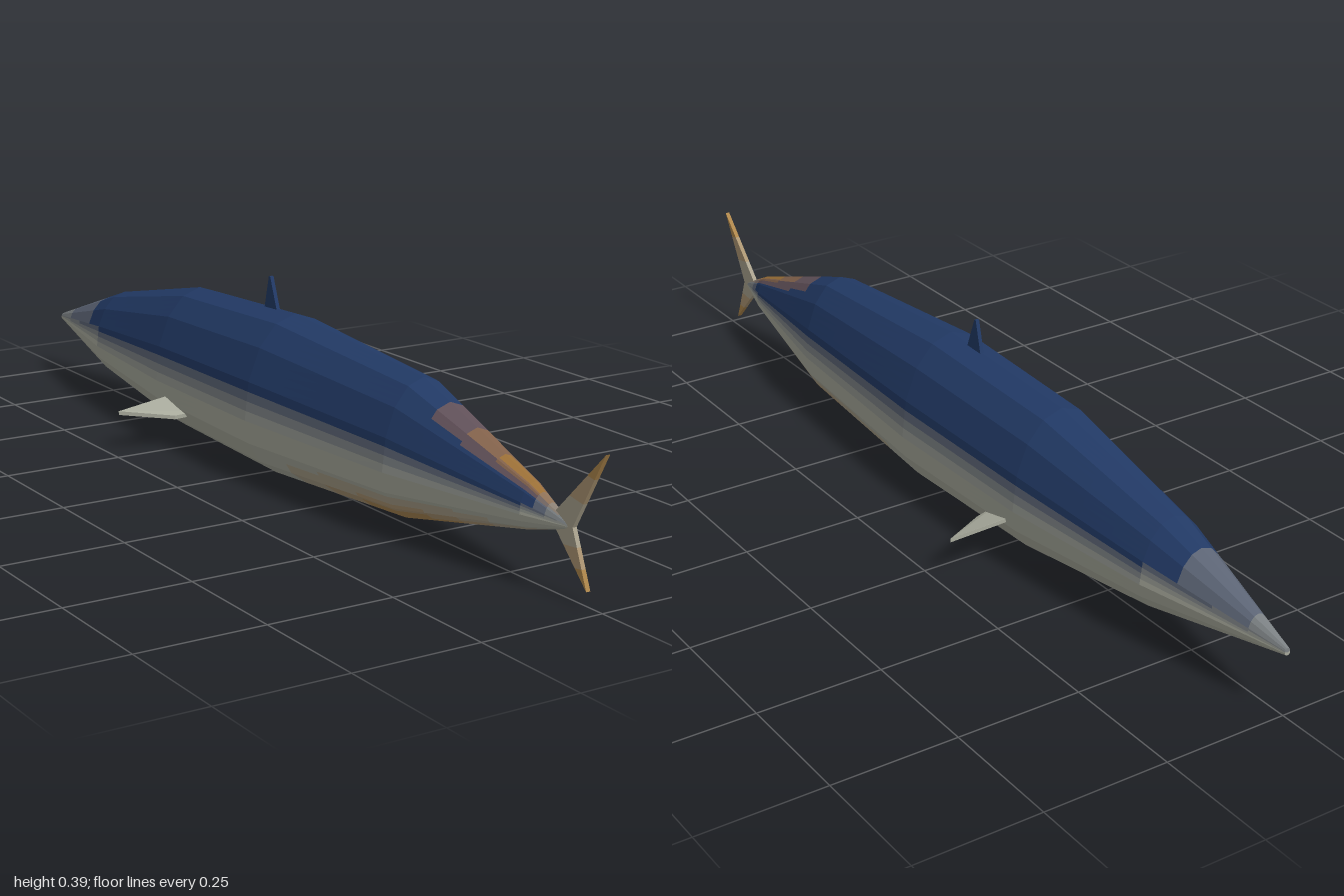
import * as THREE from 'three';
import { ConvexGeometry } from 'three/addons/geometries/ConvexGeometry.js';

const NAVY = new THREE.Color(0x223a66);
const GREY = new THREE.Color(0xa8aa9c);
const YELLOW = new THREE.Color(0xb07c14);
const AXIS_Y = 0.13, SIDES = 16, SPLIT = 4, LEVELS = 4;

// Body rings, nose to tail: z, half width, height above axis, depth below axis
const RINGS = [
  [-1, 0, 0, 0],
  [-1, 0.006, 0.009, 0.006],
  [-0.685, 0.073, 0.117, 0.071],
  [-0.34, 0.11, 0.189, 0.115],
  [0.04, 0.118, 0.203, 0.127],
  [0.48, 0.09, 0.168, 0.103],
  [0.81, 0.031, 0.054, 0.033],
  [0.91, 0.004, 0.005, 0.005],
  [0.91, 0, 0, 0],
];

function material(color) {
  return new THREE.MeshStandardMaterial({ color, flatShading: true });
}

function ringPoint(i, j) {
  const [z, w, up, down] = RINGS[i];
  const a = (j / SIDES) * Math.PI * 2, c = Math.cos(a);
  return new THREE.Vector3(w * Math.sin(a), AXIS_Y + c * (c > 0 ? up : down), z);
}

// Share of navy and yellow at a ring corner; the rest is grey
function tint(i, j) {
  const k = Math.min(j, SIDES - j);
  let blue = k <= 3 ? 1 : 0, yellow = 0;
  if (i <= 1) blue *= 0.45;
  if (i >= 7) blue *= 0.3;
  if (i === 6) yellow = k === 0 ? 1 : k === 1 ? 0.6 : k >= 7 ? 0.3 : 0;
  if (i === 5 && k >= 6) yellow = k === 6 ? 0.55 : 1;
  return new THREE.Vector3(blue, yellow, 0);
}

// Blend four corner vectors across a panel
function blend(q, u, v) {
  const near = q[0].clone().lerp(q[1], u);
  return near.lerp(q[3].clone().lerp(q[2], u), v);
}

// Faceted body, its small panels gathered by colour step
function makeBody() {
  const body = new THREE.Group();
  body.name = 'body';
  const skins = new Map();
  for (let i = 0; i < RINGS.length - 1; i++) {
    for (let j = 0; j < SIDES; j++) {
      const corners = [[i, j], [i + 1, j], [i + 1, j + 1], [i, j + 1]];
      const points = corners.map((c) => ringPoint(...c));
      const tints = corners.map((c) => tint(...c));
      for (let s = 0; s < SPLIT; s++) {
        for (let t = 0; t < SPLIT; t++) {
          const u = s / SPLIT, v = t / SPLIT, d = 1 / SPLIT;
          const mix = blend(tints, u + d / 2, v + d / 2).multiplyScalar(LEVELS).round();
          const key = `${mix.x}_${mix.y}`;
          if (!skins.has(key)) skins.set(key, { mix, verts: [] });
          const [a, b, c, e] = [[u, v], [u + d, v], [u + d, v + d], [u, v + d]]
            .map((p) => blend(points, ...p));
          for (const p of [a, b, c, a, c, e]) skins.get(key).verts.push(p);
        }
      }
    }
  }
  for (const { mix, verts } of skins.values()) {
    const geometry = new THREE.BufferGeometry().setFromPoints(verts);
    geometry.computeVertexNormals();
    const color = GREY.clone().lerp(NAVY, mix.x / LEVELS).lerp(YELLOW, mix.y / LEVELS);
    const skin = new THREE.Mesh(geometry, material(color));
    skin.name = mix.y > 0 ? 'yellowSkin' : mix.x > 2 ? 'backSkin' : mix.x > 0 ? 'flankSkin' : 'bellySkin';
    body.add(skin);
  }
  return body;
}

// Thin upright plate on the centre line from [z, y] points
function plate(name, points, thickness, color) {
  const shape = new THREE.Shape(points.map(([z, y]) => new THREE.Vector2(z, y)));
  const geometry = new THREE.ExtrudeGeometry(shape, { depth: thickness, bevelEnabled: false });
  geometry.translate(0, 0, -thickness / 2).rotateY(-Math.PI / 2);
  const mesh = new THREE.Mesh(geometry, material(color));
  mesh.name = name;
  return mesh;
}

// Tail lobe: grey root fading to a yellow tip
function tailLobe(name, outer, inner, tip) {
  const lobe = new THREE.Group();
  lobe.name = name;
  const at = (p, t) => [p[0] + (tip[0] - p[0]) * t, p[1] + (tip[1] - p[1]) * t];
  const steps = 3;
  for (let n = 0; n < steps; n++) {
    const a = n / steps, b = (n + 1) / steps;
    const outline = [at(outer, a), at(inner, a), at(inner, b)];
    if (n < steps - 1) outline.push(at(outer, b));
    const color = GREY.clone().lerp(YELLOW, 0.2 + 0.3 * n);
    lobe.add(plate(name + 'Part', outline, 0.009, color));
  }
  return lobe;
}

// Flat side fin, tilted along its chord
function pectoralFin(side) {
  const points = [];
  for (const h of [0, 0.008]) {
    points.push(
      new THREE.Vector3(side * 0.07, 0.096 + h, -0.312),
      new THREE.Vector3(side * 0.115, 0.091 + h, -0.309),
      new THREE.Vector3(side * 0.222, 0.079 + h, -0.298),
      new THREE.Vector3(side * 0.122, 0.069 + h, -0.238),
      new THREE.Vector3(side * 0.07, 0.074 + h, -0.228),
    );
  }
  const fin = new THREE.Mesh(new ConvexGeometry(points), material(GREY));
  fin.name = side > 0 ? 'leftPectoralFin' : 'rightPectoralFin';
  return fin;
}

export function createModel() {
  const fish = new THREE.Group();
  fish.name = 'fish';
  fish.add(makeBody());
  fish.add(plate('dorsalFin', [[-0.075, 0.31], [-0.015, 0.31], [-0.026, 0.333], [-0.049, 0.393], [-0.054, 0.393]], 0.008, NAVY));
  fish.add(tailLobe('upperTailLobe', [0.865, 0.14], [0.92, 0.13], [1, 0.278]));
  fish.add(tailLobe('lowerTailLobe', [0.865, 0.13], [0.92, 0.135], [0.962, 0.03]));
  for (const side of [1, -1]) fish.add(pectoralFin(side));
  return fish;
}
